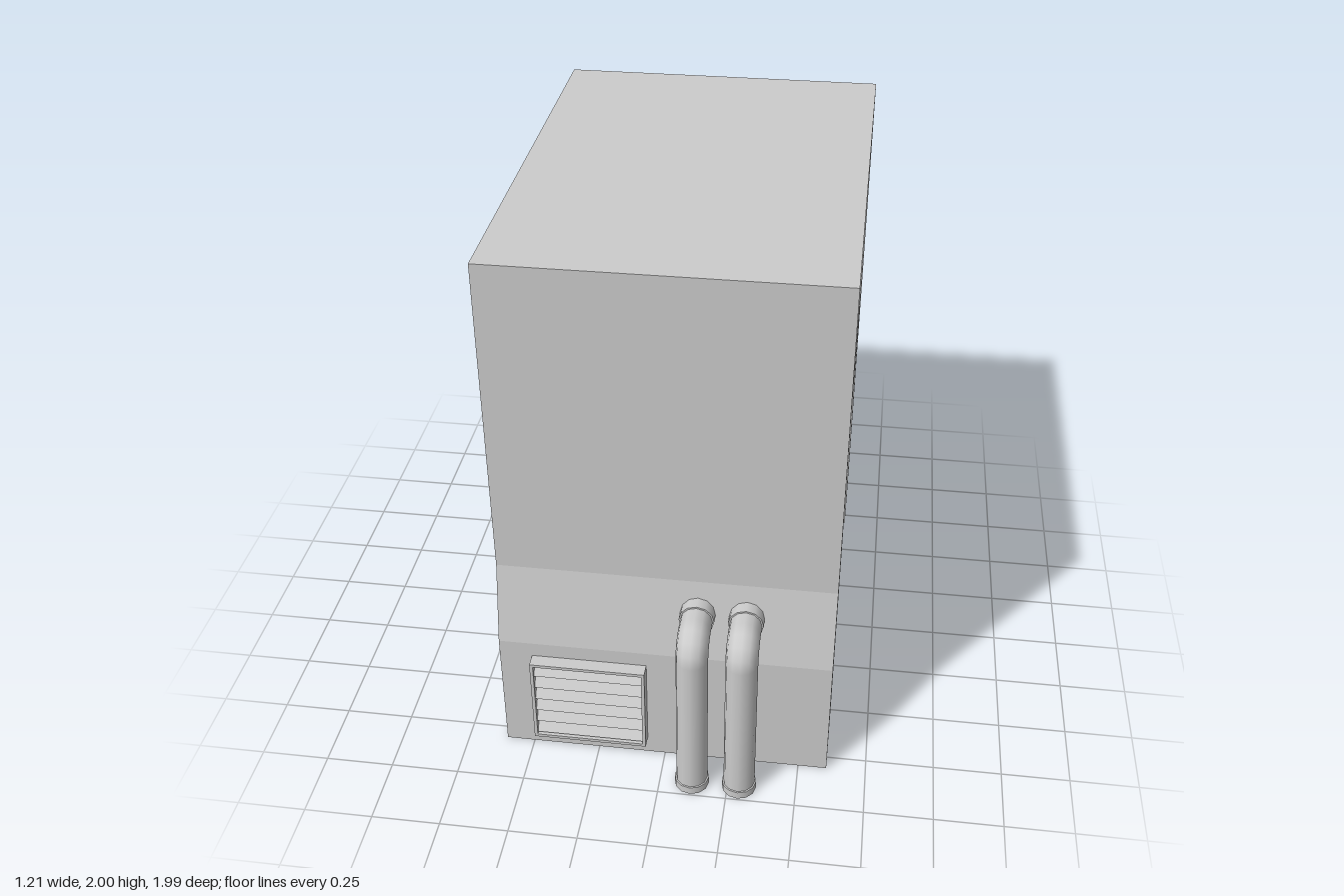
import * as THREE from 'three';

const material = new THREE.MeshStandardMaterial({ color: 0xcccccc });
const thinMaterial = new THREE.MeshStandardMaterial({ color: 0xcccccc, side: THREE.DoubleSide });

function add(parent, name, geometry, x = 0, y = 0, z = 0, mat = material) {
  const mesh = new THREE.Mesh(geometry, mat);
  mesh.name = name;
  mesh.position.set(x, y, z);
  parent.add(mesh);
  return mesh;
}

// Arch-shaped housing: side profile in (z, y), extruded across the width
function housing() {
  const profile = [
    [0.805, 0], [0.805, 0.49], [0.75, 0.8], [0.75, 2], [-0.93, 2], [-0.93, 0.8],
    [-0.99, 0.49], [-0.99, 0], [-0.69, 0], [-0.69, 1.4], [0.51, 1.4], [0.51, 0],
  ];
  const shape = new THREE.Shape(profile.map(([z, y]) => new THREE.Vector2(-z, y)));
  return new THREE.ExtrudeGeometry(shape, { depth: 1.21, bevelEnabled: false })
    .translate(0, 0, -0.605)
    .rotateY(Math.PI / 2);
}

// Upright pipe with an elbow into the wall and a collar at each end
function pipe(x) {
  const group = new THREE.Group();
  group.name = 'pipe';
  group.position.x = x;
  const r = 0.057, bend = 0.07, axisZ = 0.932, bendY = 0.603, sides = 12;
  const topY = bendY + bend, bendZ = axisZ - bend;

  add(group, 'pipeUpright', new THREE.CylinderGeometry(r, r, bendY, sides), 0, bendY / 2, axisZ);
  add(group, 'pipeElbow', new THREE.TorusGeometry(bend, r, sides, 4, Math.PI / 2).rotateY(-Math.PI / 2),
    0, bendY, bendZ);
  add(group, 'pipeInlet', new THREE.CylinderGeometry(r, r, 0.1, sides).rotateX(Math.PI / 2),
    0, topY, bendZ - 0.05);
  add(group, 'baseCollar', new THREE.CylinderGeometry(0.063, 0.063, 0.03, sides), 0, 0.015, axisZ);
  add(group, 'wallCollar', new THREE.CylinderGeometry(0.063, 0.063, 0.05, sides).rotateX(Math.PI / 2),
    0, topY, 0.785);
  return group;
}

// Framed vent with slats sloping down and outward
function vent() {
  const group = new THREE.Group();
  group.name = 'vent';
  group.position.set(-0.275, 0.253, 0.8);
  const w = 0.42, h = 0.36, border = 0.012, slats = 6;

  const rect = (shape, a, b) => shape.moveTo(-a, -b).lineTo(a, -b).lineTo(a, b).lineTo(-a, b).closePath();
  const frame = rect(new THREE.Shape(), w / 2, h / 2);
  frame.holes.push(rect(new THREE.Path(), w / 2 - border, h / 2 - border));
  add(group, 'ventFrame', new THREE.ExtrudeGeometry(frame, { depth: 0.055, bevelEnabled: false }));

  const pitch = (h - 2 * border) / slats;
  for (let i = 0; i < slats; i++) {
    const slat = add(group, 'ventSlat', new THREE.BoxGeometry(w - 2 * border, 0.058, 0.008),
      0, (i - (slats - 1) / 2) * pitch, 0.028);
    slat.rotation.x = -0.6;
  }
  return group;
}

export function createModel() {
  const model = new THREE.Group();
  model.name = 'machineHousing';
  add(model, 'housing', housing());
  model.add(vent(), pipe(0.118), pipe(0.292));

  // Hanging curtain strips on one side of the opening
  for (let i = 0; i < 6; i++) {
    add(model, 'curtainStrip', new THREE.PlaneGeometry(0.12, 0.85).rotateY(-Math.PI / 2),
      -0.553, 0.975, 0.353 - i * 0.182, thinMaterial);
  }
  return model;
}
